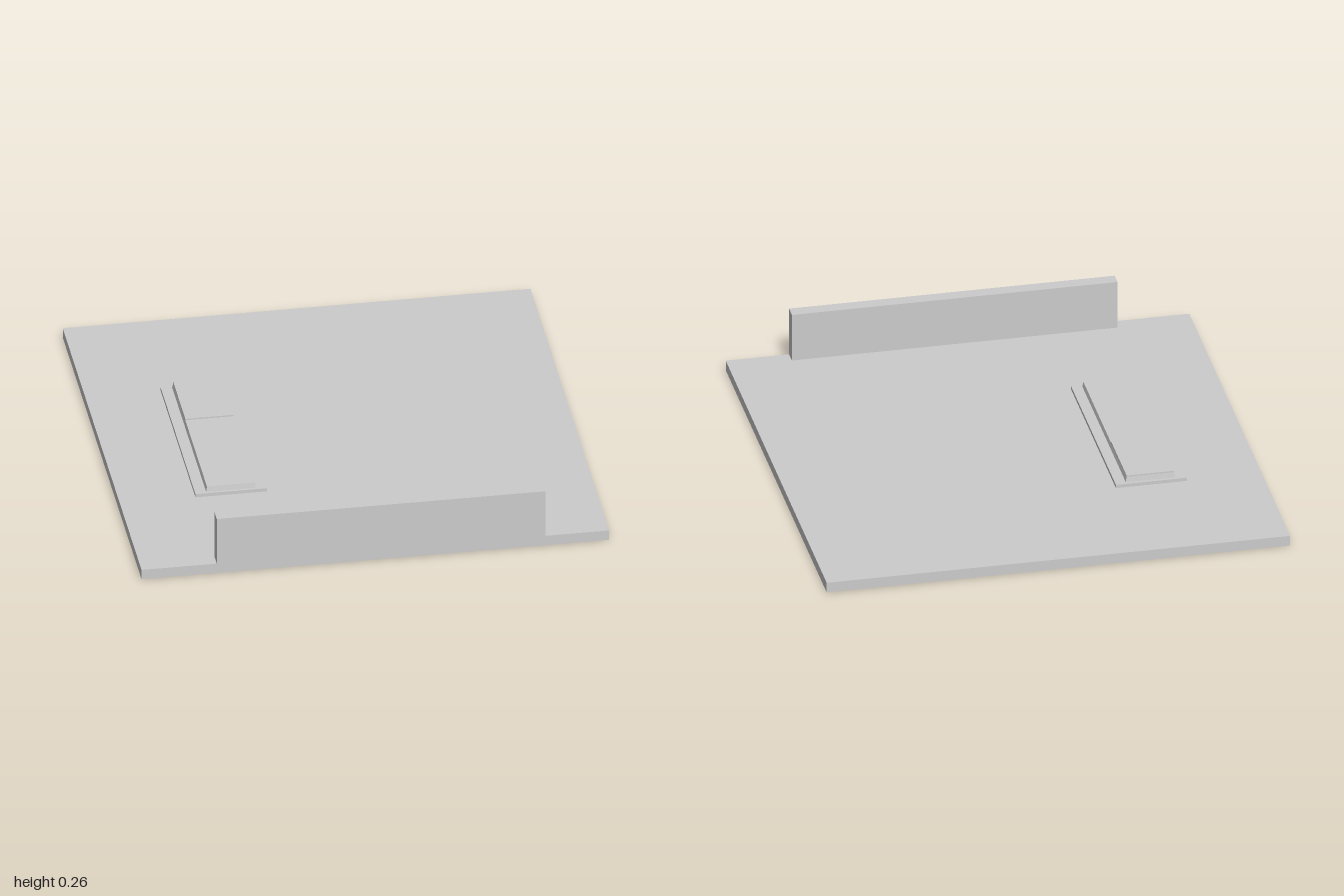
import * as THREE from 'three';

const material = new THREE.MeshStandardMaterial({ color: 0xcccccc, flatShading: true });

// Box given by its limits on each axis; inset draws in the top edges.
function block(name, [x0, x1], [y0, y1], [z0, z1], inset = 0) {
  const w = x1 - x0, h = y1 - y0, d = z1 - z0;
  const geometry = new THREE.BoxGeometry(w, h, d);
  const p = geometry.attributes.position;
  for (let i = 0; i < p.count; i++) {
    if (p.getY(i) > 0) {
      p.setX(i, p.getX(i) * (1 - 2 * inset / w));
      p.setZ(i, p.getZ(i) * (1 - 2 * inset / d));
    }
  }
  geometry.computeVertexNormals();
  const mesh = new THREE.Mesh(geometry, material);
  mesh.name = name;
  mesh.position.set((x0 + x1) / 2, (y0 + y1) / 2, (z0 + z1) / 2);
  return mesh;
}

export function createModel() {
  const group = new THREE.Group();
  group.name = 'slabWithWall';

  // Ground slab and the low wall along its front edge
  group.add(block('baseSlab', [-0.985, 0.985], [0, 0.045], [-1, 1]));
  group.add(block('frontWall', [-0.668, 0.716], [0.045, 0.26], [0.943, 1]));

  // Thin plate carrying a long block with a slightly raised rear section
  group.add(block('plinth', [-0.667, -0.365], [0.045, 0.06], [-0.437, 0.452]));
  group.add(block('longBlock', [-0.62, -0.41], [0.06, 0.083], [-0.423, 0.44], 0.004));
  group.add(block('raisedRear', [-0.616, -0.414], [0.083, 0.089], [-0.419, -0.113]));

  return group;
}
